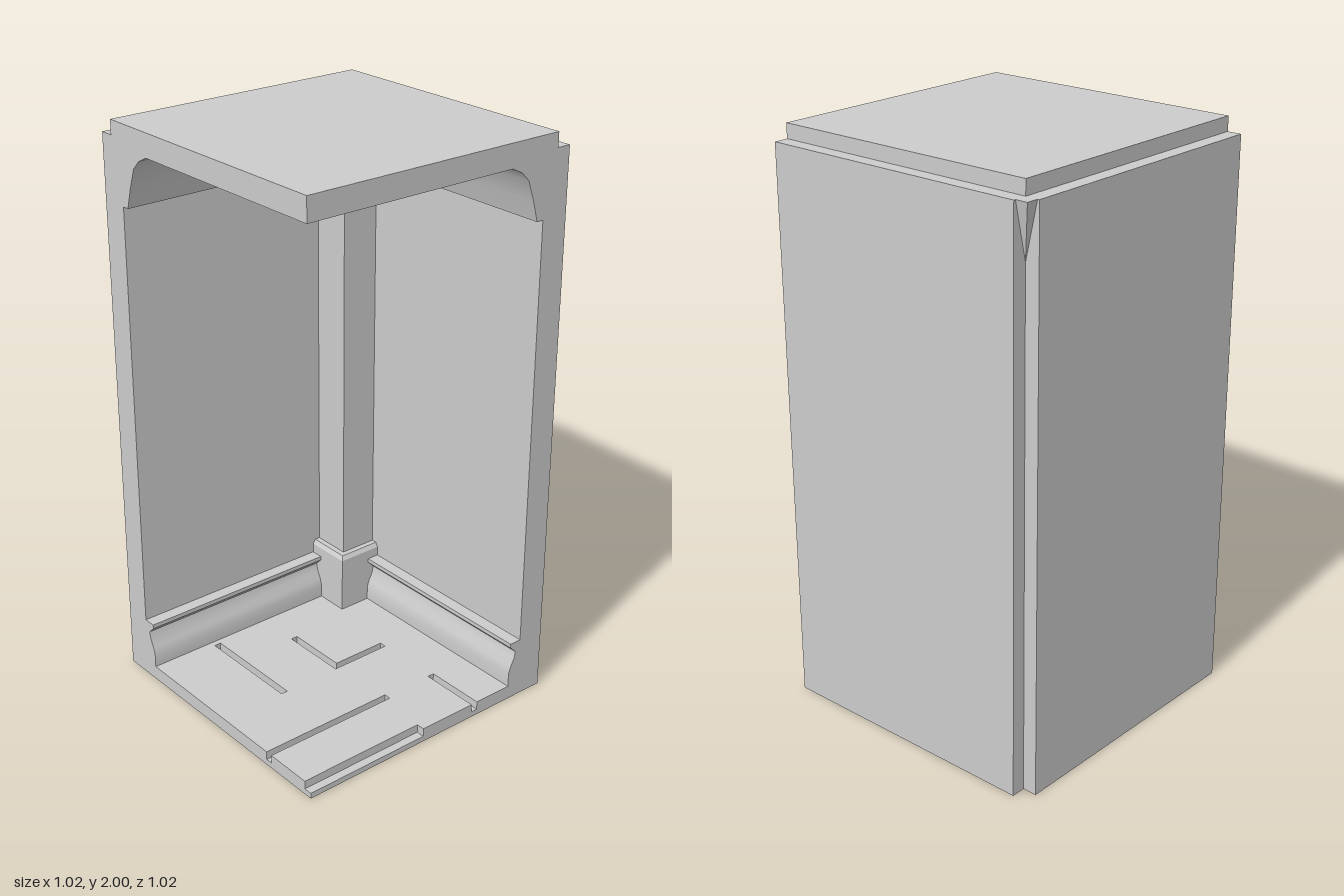
import * as THREE from 'three';
import { toCreasedNormals } from 'three/addons/utils/BufferGeometryUtils.js';

const OUT = 0.51;    // outer face of walls and floor
const IN = 0.41;     // inner face of walls
const NOTCH = 0.46;  // outer corner groove

const material = new THREE.MeshStandardMaterial({ color: 0xcccccc });

function add(parent, name, geometry) {
  const mesh = new THREE.Mesh(geometry, material);
  mesh.name = name;
  parent.add(mesh);
  return mesh;
}

const toShape = (pts) => new THREE.Shape(pts.map(([a, b]) => new THREE.Vector2(a, b)));

// Plan given as [x, -z] points, raised from y0 to y1
function slab(shape, y0, y1) {
  const g = new THREE.ExtrudeGeometry(shape, { depth: y1 - y0, bevelEnabled: false });
  return g.rotateX(-Math.PI / 2).translate(0, y0, 0);
}

// Profile given as [distance, y], run along the right wall or the back wall
function moulding(pts, back) {
  let g = new THREE.ExtrudeGeometry(toShape(pts), { depth: OUT + IN, bevelEnabled: false });
  g = toCreasedNormals(g.translate(0, 0, -IN), 0.75);
  if (back) g.rotateY(Math.PI / 2).translate(IN - OUT, 0, 0);
  return g;
}

// Square post in the inner corner; levels are [y, inner edge], bottom to top
function cornerBlock(levels) {
  const n = levels.length - 1;
  const box = new THREE.BoxGeometry(1, 1, 1, 1, n, 1);
  const p = box.attributes.position;
  for (let i = 0; i < p.count; i++) {
    const [y, a] = levels[Math.round((p.getY(i) + 0.5) * n)];
    p.setXYZ(i, p.getX(i) < 0 ? a : IN + 0.02, y, p.getZ(i) > 0 ? -a : -IN - 0.02);
  }
  const g = box.toNonIndexed();
  g.computeVertexNormals();
  return g;
}

export function createModel() {
  const model = new THREE.Group();
  model.name = 'roomCorner';

  // Floor base with the groove cut out of its outer corner
  add(model, 'floorBase', slab(toShape([
    [-OUT, -OUT], [OUT, -OUT], [OUT, NOTCH], [NOTCH, NOTCH], [NOTCH, OUT], [-OUT, OUT],
  ]), 0, 0.02));

  // Floor panel with grooves open to the edges and closed grooves inside
  const panel = toShape([
    [-OUT, -0.48], [-0.03, -0.48], [-0.03, -OUT],
    [0.19, -OUT], [0.19, -0.29], [0.215, -0.29], [0.215, -OUT],
    [IN, -OUT], [IN, IN], [-OUT, IN],
    [-OUT, -0.28], [0, -0.28], [0, -0.305], [-OUT, -0.305],
  ]);
  const grooves = [
    [[-0.27, -0.05], [-0.245, -0.05], [-0.245, 0.34], [-0.27, 0.34]],
    [[-0.03, -0.05], [0.2, -0.05], [0.2, -0.025], [-0.005, -0.025], [-0.005, 0.2], [-0.03, 0.2]],
  ];
  panel.holes = grooves.map((pts) => new THREE.Path(toShape(pts).getPoints()));
  add(model, 'floorPanel', slab(panel, 0.02, 0.05));

  // Back and right walls in one L-shaped run
  add(model, 'walls', slab(toShape([
    [IN, -OUT], [OUT, -OUT], [OUT, NOTCH], [NOTCH, NOTCH], [NOTCH, OUT],
    [-OUT, OUT], [-OUT, IN], [IN, IN],
  ]), 0.02, 1.95));

  // Ceiling, set in from the outer wall faces
  const span = OUT + NOTCH;
  add(model, 'ceiling', new THREE.BoxGeometry(span, 0.08, span))
    .position.set((NOTCH - OUT) / 2, 1.96, (OUT - NOTCH) / 2);

  // Cornice and skirting on both walls
  const cornice = [
    [IN, 1.73], [IN, 1.92], [0.27, 1.92], [0.31, 1.9], [0.34, 1.87], [0.365, 1.8], [0.385, 1.73],
  ];
  const skirting = [
    [IN, 0.05], [IN, 0.22], [0.365, 0.22], [0.365, 0.205], [0.39, 0.18],
    [0.385, 0.155], [0.37, 0.125], [0.362, 0.1], [0.362, 0.05],
  ];
  for (const [side, back] of [['right', false], ['back', true]]) {
    add(model, side + 'Cornice', moulding(cornice.slice().reverse(), back));
    add(model, side + 'Skirting', moulding(skirting.slice().reverse(), back));
  }

  // Pillar in the inner corner with its foot and capital
  add(model, 'cornerPillar', cornerBlock([[0.26, 0.27], [1.69, 0.27]]));
  add(model, 'pillarFoot', cornerBlock([[0.05, 0.24], [0.255, 0.24], [0.27, 0.25]]));
  add(model, 'pillarCapital', cornerBlock([[1.68, 0.27], [1.705, 0.222], [1.73, 0.22], [1.92, 0.18]]));

  // Wedge that fills the outer groove towards the top
  const wedge = new THREE.BoxGeometry(1, 1, 1);
  const p = wedge.attributes.position;
  for (let i = 0; i < p.count; i++) {
    const top = p.getY(i) > 0;
    const tip = top ? 0.503 : NOTCH;
    p.setXYZ(i, p.getX(i) > 0 ? tip : NOTCH - 0.01, top ? 1.95 : 1.76, p.getZ(i) < 0 ? -tip : 0.01 - NOTCH);
  }
  wedge.computeVertexNormals();
  add(model, 'cornerWedge', wedge);

  return model;
}
